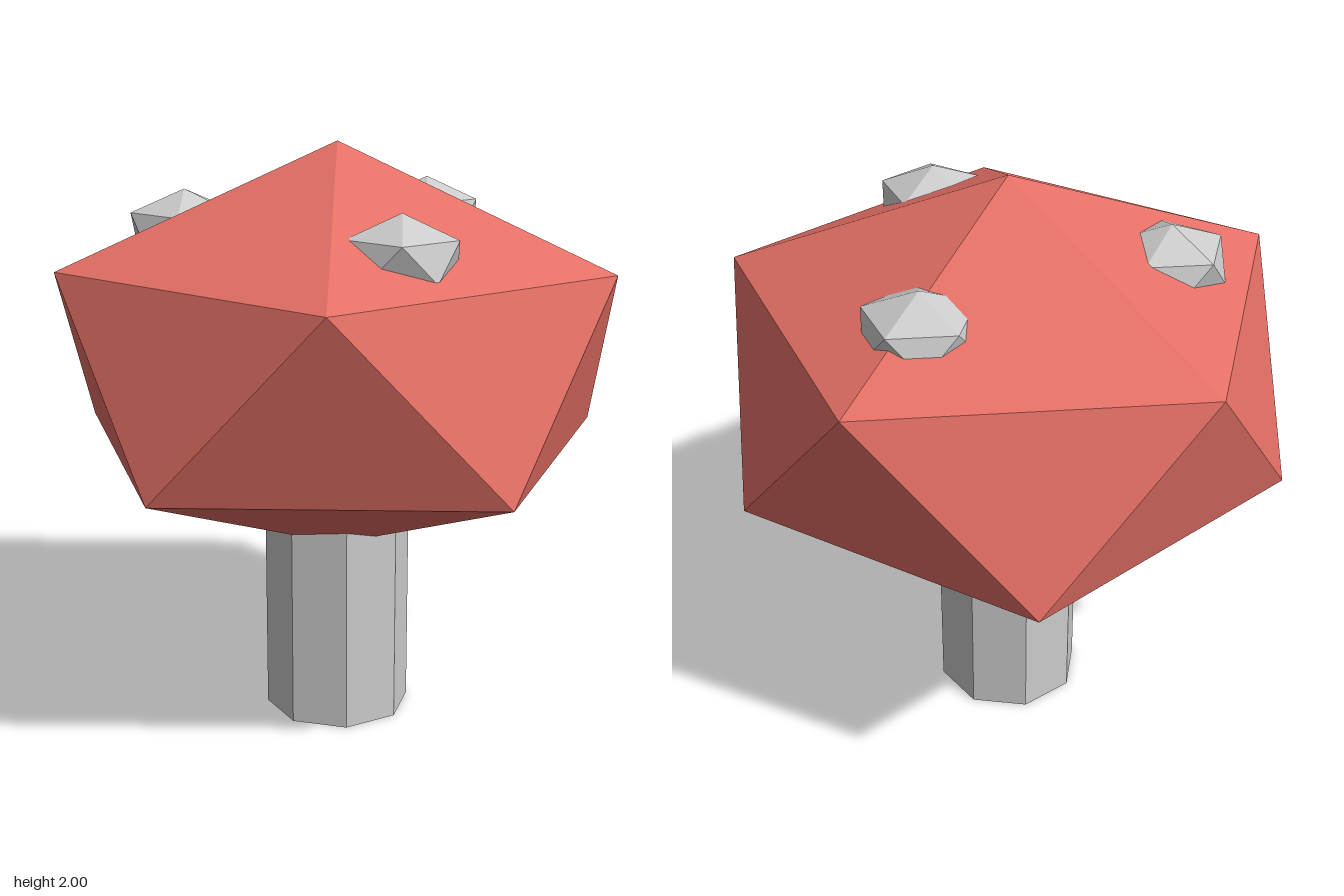
import * as THREE from 'three';

const red = new THREE.MeshStandardMaterial({ color: 0xe57066, flatShading: true });
const grey = new THREE.MeshStandardMaterial({ color: 0xcccccc, flatShading: true });

// Icosahedron standing on a corner, an upper-ring corner pointing to +x, squashed in y
function squashedIcosahedron(radius, height) {
  const golden = (1 + Math.sqrt(5)) / 2;
  return new THREE.IcosahedronGeometry(1, 0)
    .rotateZ(-Math.atan(1 / golden))
    .scale(radius, height, radius);
}

export function createModel() {
  const group = new THREE.Group();
  const add = (name, geometry, material, x, y, z) => {
    const mesh = new THREE.Mesh(geometry, material);
    mesh.name = name;
    mesh.position.set(x, y, z);
    group.add(mesh);
  };

  // Eight-sided stem, its top hidden in the cap
  const stemHeight = 1;
  add('stem', new THREE.CylinderGeometry(0.253, 0.253, stemHeight, 8), grey, 0, stemHeight / 2, 0);

  // Low-poly mushroom cap
  add('cap', squashedIcosahedron(1.055, 0.704), red, 0, 1.296, 0);

  // Three spots sunk into the top of the cap
  const spotGeometry = squashedIcosahedron(0.205, 0.133);
  for (let i = 0; i < 3; i++) {
    const angle = (i * Math.PI * 2) / 3;
    add('spot' + (i + 1), spotGeometry, grey, 0.52 * Math.cos(angle), 1.7, 0.52 * Math.sin(angle));
  }
  return group;
}
